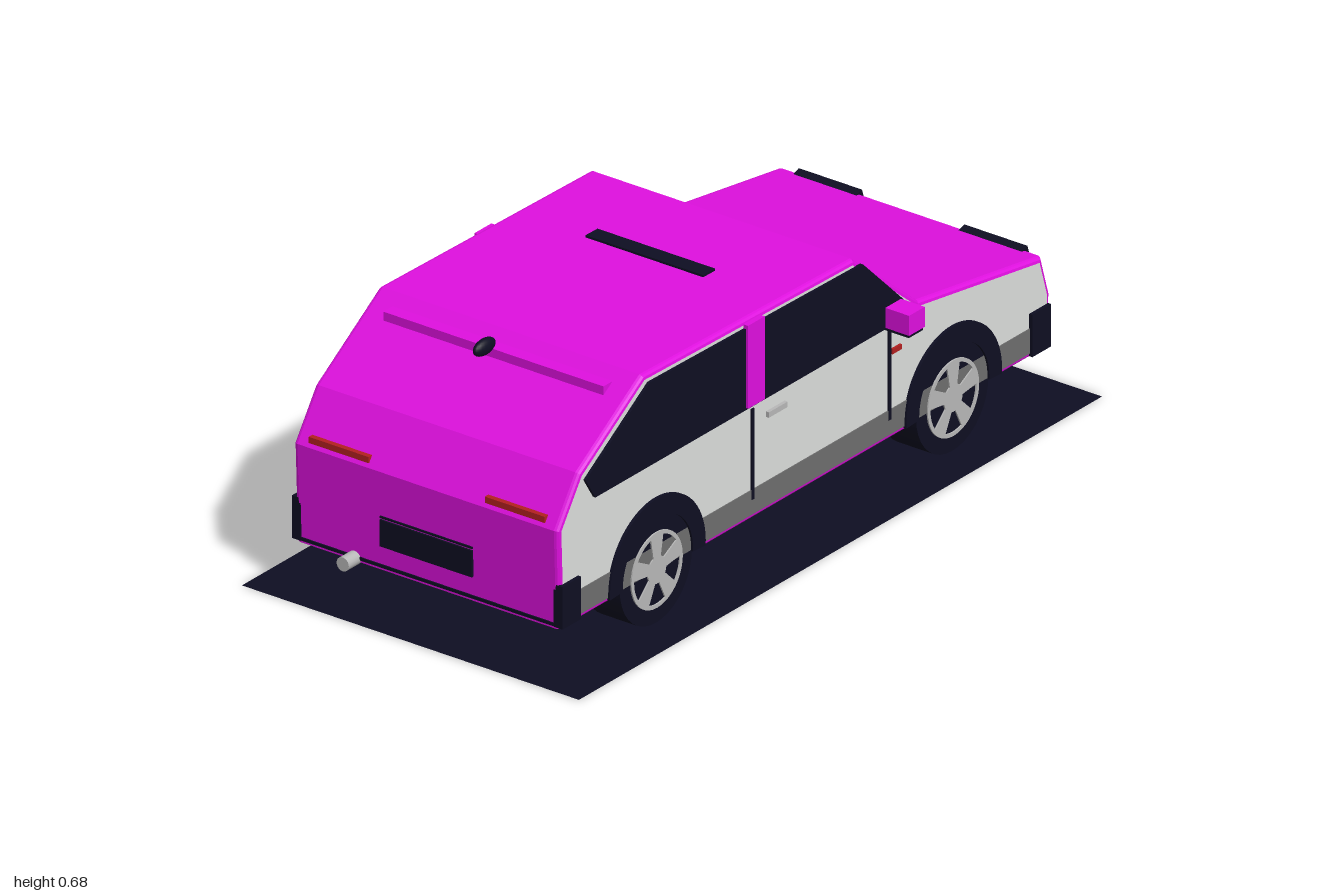
import * as THREE from 'three';

const mat = (name, color, side = THREE.FrontSide) => {
  const m = new THREE.MeshStandardMaterial({ color, side });
  m.name = name;
  return m;
};

export function createModel() {
  const car = new THREE.Group();
  car.name = 'hatchbackCar';
  const magenta = mat('magentaPaint', 0xe010e0);
  const white = mat('whitePanel', 0xdcdedc);
  const grey = mat('greySill', 0x6e6e6e);
  const dark = mat('darkTrim', 0x0e0e22);
  const ground = mat('darkGround', 0x0e0e22, THREE.DoubleSide);
  const silver = mat('silver', 0xb8b8b8);
  const red = mat('redLens', 0xb42020);

  const add = (name, geo, material, x = 0, y = 0, z = 0) => {
    const m = new THREE.Mesh(geo, material);
    m.name = name;
    m.position.set(x, y, z);
    car.add(m);
    return m;
  };
  // box given by its min and max corners
  const box = (name, material, x0, x1, y0, y1, z0, z1) =>
    add(name, new THREE.BoxGeometry(x1 - x0, y1 - y0, z1 - z0), material,
      (x0 + x1) / 2, (y0 + y1) / 2, (z0 + z1) / 2);
  const shapeOf = (pts) => new THREE.Shape(pts.map(([z, y]) => new THREE.Vector2(z, y)));
  // side profile (z, y) extruded across x and centred
  const across = (shape, width, opts = {}) => {
    const g = new THREE.ExtrudeGeometry(shape, { depth: width, bevelEnabled: false, curveSegments: 20, ...opts });
    g.translate(0, 0, -width / 2);
    g.rotateY(-Math.PI / 2);
    return g;
  };

  // Body shell: white flat sides, magenta skin and bevelled border
  const profile = [[0.932, 0.122], [0.942, 0.38], [0.86, 0.5], [0.615, 0.658], [-0.19, 0.642],
    [-0.44, 0.437], [-0.91, 0.366], [-0.942, 0.26], [-0.93, 0.122]];
  add('bodyShell', across(shapeOf(profile), 0.75, {
    bevelEnabled: true, bevelThickness: 0.012, bevelSize: 0.013, bevelOffset: -0.013, bevelSegments: 3,
  }), [white, magenta]);

  // Wheel pieces
  const arch = new THREE.Shape();
  arch.absarc(0, 0, 0.183, -0.06, Math.PI + 0.06, false);
  arch.absarc(0, 0, 0.134, Math.PI + 0.06, -0.06, true);
  const archGeo = across(arch, 0.012);
  const tyreGeo = new THREE.CylinderGeometry(0.138, 0.138, 0.105, 36).rotateZ(Math.PI / 2);
  const rim = new THREE.Shape();
  rim.absarc(0, 0, 0.098, 0, Math.PI * 2, false);
  for (let i = 0; i < 5; i++) {
    const a = Math.PI / 2 + (i + 0.5) * Math.PI * 0.4;
    const hole = new THREE.Path();
    hole.absarc(0, 0, 0.088, a - 0.36, a + 0.36, false);
    hole.absarc(0, 0, 0.035, a + 0.22, a - 0.22, true);
    hole.closePath();
    rim.holes.push(hole);
  }
  const rimGeo = across(rim, 0.008);

  const windowGeo = across(shapeOf([[0.845, 0.478], [0.808, 0.42], [-0.422, 0.42], [-0.215, 0.622], [0.6, 0.636]]), 0.009);
  const sillGeo = across(shapeOf([[0.915, 0.136], [0.918, 0.2], [-0.92, 0.2], [-0.915, 0.136]]), 0.005);

  for (const s of [1, -1]) {
    const side = s > 0 ? 'left' : 'right';
    const sBox = (name, m, x0, x1, ...r) => box(side + name, m, Math.min(s * x0, s * x1), Math.max(s * x0, s * x1), ...r);

    // Glazing, sill and door details
    add(side + 'Windows', windowGeo, dark, s * 0.39);
    add(side + 'Sill', sillGeo, grey, s * 0.387);
    sBox('DoorPillar', magenta, 0.38, 0.4, 0.425, 0.64, 0.168, 0.232);
    for (const z of [0.2, -0.323]) sBox('DoorSeam', dark, 0.384, 0.391, 0.175, 0.41, z - 0.005, z + 0.005);
    sBox('DoorHandle', silver, 0.384, 0.396, 0.367, 0.381, 0.075, 0.147);
    sBox('SideMarker', red, 0.384, 0.393, 0.343, 0.356, -0.365, -0.33);

    // Wing mirror
    sBox('Mirror', magenta, 0.39, 0.464, 0.424, 0.476, -0.36, -0.3);
    sBox('MirrorBase', dark, 0.385, 0.461, 0.416, 0.424, -0.357, -0.303);

    // Bumper corners
    sBox('HatchBumperCorner', dark, 0.37, 0.396, 0.128, 0.238, 0.865, 0.936);
    sBox('NoseBumperCorner', dark, 0.37, 0.396, 0.128, 0.238, -0.932, -0.86);

    // Wheels and arches
    for (const z of [0.57, -0.563]) {
      add(side + 'WheelArch', archGeo, dark, s * 0.389, 0.142, z);
      add(side + 'Tyre', tyreGeo, dark, s * 0.3365, 0.138, z);
      add(side + 'Rim', rimGeo, silver, s * 0.389, 0.138, z);
    }

    // Tail light, headlight and fog lamp
    sBox('TailLight', red, 0.17, 0.345, 0.39, 0.406, 0.915, 0.938);
    const frame = add(side + 'HeadlightFrame', new THREE.BoxGeometry(0.185, 0.058, 0.03), dark, s * 0.242, 0.342, -0.916);
    const lens = add(side + 'HeadlightLens', new THREE.BoxGeometry(0.16, 0.04, 0.03), silver, s * 0.242, 0.339, -0.922);
    frame.rotation.x = lens.rotation.x = 0.29;
    add(side + 'FogLamp', new THREE.CylinderGeometry(0.024, 0.024, 0.035, 20).rotateX(Math.PI / 2), silver, s * 0.278, 0.175, -0.948);
  }

  // Hatch end
  box('plateRecess', dark, -0.135, 0.135, 0.187, 0.256, 0.92, 0.942);
  box('plateTrim', dark, -0.135, 0.135, 0.26, 0.265, 0.92, 0.941);
  box('hatchBumperStrip', dark, -0.385, 0.385, 0.129, 0.137, 0.9, 0.936);
  box('spoiler', magenta, -0.322, 0.322, 0.614, 0.637, 0.645, 0.683);
  add('exhaust', new THREE.CylinderGeometry(0.018, 0.018, 0.11, 20).rotateX(Math.PI / 2), silver, -0.215, 0.13, 0.923);
  add('antennaPod', new THREE.SphereGeometry(1, 20, 14).scale(0.015, 0.021, 0.039), dark, 0, 0.657, 0.718);

  // Nose end
  box('grille', dark, -0.22, 0.22, 0.145, 0.222, -0.945, -0.92);
  box('noseBumperStrip', dark, -0.385, 0.385, 0.129, 0.137, -0.936, -0.9);
  add('grilleStud', new THREE.SphereGeometry(1, 16, 10).scale(0.03, 0.017, 0.016), silver, 0, 0.183, -0.946);

  // Roof vent, following the gentle slope of the roof
  const vent = box('roofVent', dark, -0.172, 0.172, 0.645, 0.653, 0.06, 0.106);
  vent.rotation.x = -0.02;

  // Flat ground sheet
  add('groundSheet', new THREE.PlaneGeometry(0.986, 2).rotateX(-Math.PI / 2), ground, 0, 0.0005, 0);
  return car;
}
